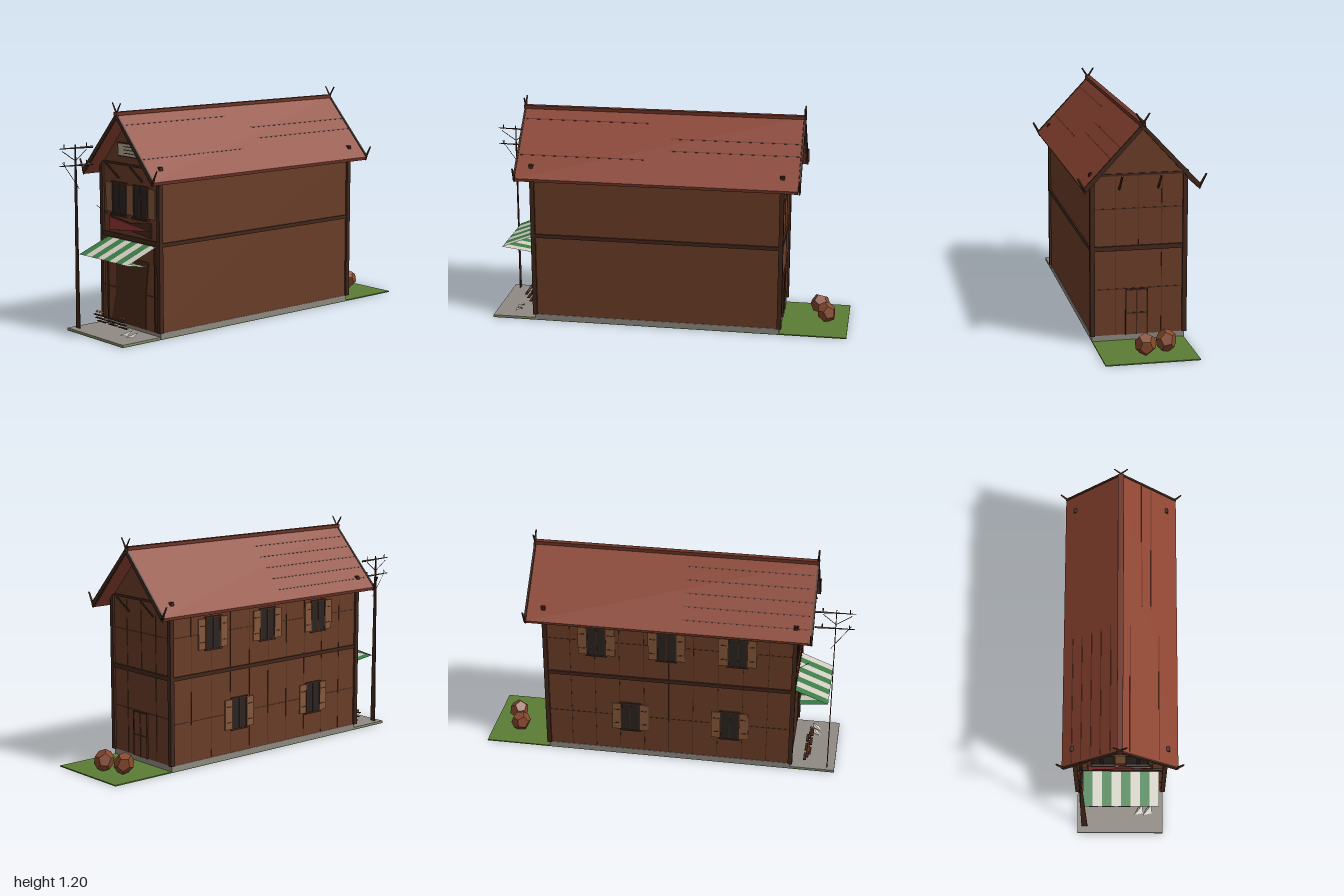
import * as THREE from 'three';

const C = {
  wall: 0x6b3d27, beam: 0x42271a, seam: 0x4a2b1c, roof: 0x8f4532, groove: 0x6b3325, dark: 0x2a2421,
  shutter: 0x85573a, stone: 0x8f8a82, grass: 0x5b7c35, cloth: 0xd0ccc0, green: 0x3c7d48, red: 0x933535, sign: 0xb5ab92,
  door: 0x4b2a1b, rock: 0x84482d, orange: 0xb0602c
};
const mats = {};
const mat = (color) => (mats[color] ??= new THREE.MeshStandardMaterial({ color, flatShading: true, side: THREE.DoubleSide }));

function add(parent, name, geo, color, x = 0, y = 0, z = 0) {
  const m = new THREE.Mesh(geo, mat(color));
  m.name = name;
  m.position.set(x, y, z);
  parent.add(m);
  return m;
}
const box = (p, name, w, h, d, x, y, z, color) => add(p, name, new THREE.BoxGeometry(w, h, d), color, x, y, z);

// Tapered square bar between two points
function bar(p, name, a, b, r, color = C.beam, rEnd = r) {
  const A = new THREE.Vector3(...a), B = new THREE.Vector3(...b);
  const dir = B.clone().sub(A);
  const m = add(p, name, new THREE.CylinderGeometry(rEnd, r, dir.length(), 4), color);
  m.position.copy(A).add(B).multiplyScalar(0.5);
  m.quaternion.setFromUnitVectors(new THREE.Vector3(0, 1, 0), dir.normalize());
  return m;
}
// Outline in x,y pushed along z
function prism(p, name, pts, z0, z1, color) {
  const shape = new THREE.Shape(pts.map(([x, y]) => new THREE.Vector2(x, y)));
  return add(p, name, new THREE.ExtrudeGeometry(shape, { depth: z1 - z0, bevelEnabled: false }), color, 0, 0, z0);
}
// Flat four-cornered sheet
function sheet(p, name, a, b, c, d, color) {
  const g = new THREE.BufferGeometry();
  g.setAttribute('position', new THREE.Float32BufferAttribute([...a, ...b, ...c, ...a, ...c, ...d], 3));
  g.computeVertexNormals();
  return add(p, name, g, color);
}
const chevron = (out, thick, half, top, eave) => [
  [0, top + out], [half, eave + out], [half - 0.01, eave + out - thick], [0, top + out - thick * 1.2],
  [-half + 0.01, eave + out - thick], [-half, eave + out]];

// Shuttered window facing +z, centred on its own origin
function windowUnit(name, w, h, shutterW) {
  const g = new THREE.Group();
  g.name = name;
  box(g, 'pane', w, h, 0.006, 0, 0, 0.003, C.dark);
  for (const s of [-1, 0, 1]) box(g, 'windowBar', 0.007, h, 0.008, s * w / 2, 0, 0.005, C.beam);
  for (const s of [-1, 1]) {
    box(g, 'windowRail', w + 0.015, 0.008, 0.01, 0, s * h / 2, 0.005, C.beam);
    if (!shutterW) continue;
    const x = s * (w + shutterW) / 2;
    box(g, 'shutter', shutterW, h * 0.95, 0.006, x, 0, 0.004, C.shutter);
    for (const y of [-0.25, 0.25]) box(g, 'shutterSlat', shutterW * 0.6, 0.004, 0.003, x, y * h, 0.008, C.beam);
  }
  return g;
}

export function createModel() {
  const root = new THREE.Group();
  root.name = 'timberShop';
  const group = (name) => { const g = new THREE.Group(); g.name = name; root.add(g); return g; };
  const ZF = 0.7, ZB = -0.64;

  // Ground, paving and plinth
  const ground = group('ground');
  box(ground, 'grass', 0.48, 0.006, 1.94, 0, 0.003, -0.03, C.grass);
  box(ground, 'paving', 0.48, 0.008, 0.24, 0, 0.01, 0.82, C.stone);
  box(ground, 'plinth', 0.485, 0.03, 1.34, 0, 0.02, 0.03, C.stone);

  // Walls with gables
  const body = group('house');
  prism(body, 'walls', [[-0.24, 0.03], [0.24, 0.03], [0.24, 0.87], [0, 1.13], [-0.24, 0.87]], ZB, ZF, C.wall);
  for (const x of [-0.24, 0.24]) {
    for (const z of [ZB, ZF]) box(body, 'cornerPost', 0.024, 0.855, 0.024, x, 0.463, z, C.beam);
    box(body, 'sideBeam', 0.016, 0.02, 1.34, x, 0.49, 0.03, C.beam);
  }
  for (const [z, s] of [[ZF, 1], [ZB, -1]]) {
    box(body, 'floorBeam', 0.48, 0.024, 0.02, 0, 0.495, z, C.beam);
    box(body, 'gableBeam', 0.48, 0.012, 0.012, 0, 0.875, z, C.beam);
    for (const x of [-0.1, 0.1]) bar(body, 'gableBracket', [x, 0.8, z], [x, 0.885, z + s * 0.08], 0.006);
  }
  // Plank seams on the back and the left-hand street side
  for (const x of [-0.12, 0, 0.12]) {
    box(body, 'backSeam', 0.003, 0.36, 0.003, x, 0.68, ZB - 0.001, C.seam);
    if (x) box(body, 'backSeam', 0.003, 0.44, 0.003, x, 0.26, ZB - 0.001, C.seam);
  }
  for (const y of [0.28, 0.7]) box(body, 'backRail', 0.47, 0.004, 0.003, 0, y, ZB - 0.001, C.seam);
  for (let i = 1; i < 10; i++) box(body, 'sideSeam', 0.003, 0.82, 0.003, -0.24, 0.45, ZB + i * 0.134, C.seam);
  for (const y of [0.25, 0.7]) box(body, 'sideRail', 0.003, 0.004, 1.32, -0.24, y, 0.03, C.seam);

  // Roof, ridge, barge boards and horn finials
  const roof = group('roof');
  prism(roof, 'roofSlopes', chevron(0, 0.018, 0.3, 1.145, 0.825), -0.725, 0.785, C.roof);
  box(roof, 'ridge', 0.03, 0.018, 1.52, 0, 1.146, 0.03, C.groove);
  for (const z of [-0.733, 0.783]) {
    prism(roof, 'bargeBoard', chevron(0.004, 0.024, 0.302, 1.145, 0.825), z - 0.004, z + 0.006, C.beam);
    for (const s of [-1, 1]) {
      bar(roof, 'ridgeHorn', [-s * 0.012, 1.13, z], [s * 0.034, 1.2, z], 0.007, C.beam, 0.004);
      bar(roof, 'eaveHorn', [s * 0.29, 0.82, z], [s * 0.326, 0.885, z], 0.008, C.beam, 0.005);
    }
  }
  const groove = (x, z0, z1) => {
    const m = box(roof, 'roofGroove', 0.006, 0.003, z1 - z0, x, 1.145 - Math.abs(x) * 1.067, (z0 + z1) / 2, C.groove);
    m.rotation.z = -Math.sign(x) * 0.818;
  };
  for (const x of [0.05, 0.2]) groove(x, 0.1, 0.77);
  for (const x of [0.11, 0.16]) groove(x, -0.72, -0.03);
  for (const x of [-0.05, -0.1, -0.15, -0.2, -0.25]) groove(x, 0.1, 0.77);
  for (const x of [-0.25, 0.25]) for (const z of [ZB, ZF]) box(roof, 'postPeg', 0.012, 0.02, 0.02, x, 0.875, z, C.beam);

  // Shop front: windows, signs and curtained doorway
  const front = group('shopFront');
  for (const x of [-0.09, 0.09]) {
    const w = windowUnit('frontWindow', 0.115, 0.165, 0);
    w.position.set(x, 0.693, ZF);
    front.add(w);
    box(front, 'windowSill', 0.13, 0.008, 0.02, x, 0.605, ZF + 0.008, C.beam);
  }
  for (const x of [-0.18, 0, 0.18]) box(front, 'shutter', 0.055, 0.155, 0.006, x, 0.693, ZF + 0.003, C.shutter);
  box(front, 'gableSignFrame', 0.188, 0.074, 0.008, 0, 0.952, ZF + 0.004, C.beam);
  box(front, 'gableSign', 0.174, 0.06, 0.012, 0, 0.952, ZF + 0.005, C.sign);
  for (let i = 0; i < 3; i++) box(front, 'signSlat', 0.12, 0.004, 0.003, 0.02, 0.935 + i * 0.017, ZF + 0.011, C.dark);
  prism(front, 'boardBack', [[-0.175, 0.515], [0, 0.535], [0.175, 0.515], [0.175, 0.595], [0, 0.575], [-0.175, 0.595]], ZF, ZF + 0.006, C.beam);
  prism(front, 'redBoard', [[-0.17, 0.518], [0.165, 0.553], [-0.17, 0.588]], ZF, ZF + 0.012, C.red);
  prism(front, 'doorway', [[-0.17, 0.035], [0.125, 0.035], [0.125, 0.22], [0.15, 0.39], [-0.13, 0.39], [-0.13, 0.2]], ZF, ZF + 0.004, C.door);
  for (const x of [-0.2, 0.2]) box(front, 'doorPost', 0.01, 0.45, 0.01, x, 0.26, ZF, C.beam);
  for (const x of [-0.185, 0.185]) box(front, 'doorRail', 0.11, 0.006, 0.006, x, 0.215, ZF, C.beam);

  // Striped awning with a tucked-back under flap
  const awning = group('awning');
  const n = 8, X0 = -0.2, W = 0.41;
  for (let i = 0; i < n; i++) {
    const a = X0 + W * i / n, b = X0 + W * (i + 1) / n, k = (x) => 0.005 + (x - 0.005) * 0.88;
    const color = i % 2 ? C.cloth : C.green;
    sheet(awning, 'awningStripe', [a, 0.405, 0.885], [b, 0.405, 0.885], [b, 0.478, ZF], [a, 0.478, ZF], color);
    sheet(awning, 'awningFlap', [k(a), 0.375, 0.73], [k(b), 0.375, 0.73], [b, 0.405, 0.885], [a, 0.405, 0.885], color);
  }

  // Back door
  const back = group('backDoor');
  box(back, 'doorLeaf', 0.11, 0.235, 0.008, 0.01, 0.153, ZB - 0.002, C.wall);
  for (const x of [-0.045, 0.01, 0.065]) box(back, 'doorStile', 0.006, 0.24, 0.012, x, 0.155, ZB - 0.003, C.beam);
  for (const y of [0.15, 0.275]) box(back, 'doorRail', 0.115, 0.006, 0.012, 0.01, y, ZB - 0.003, C.beam);

  // Shuttered windows on the street side
  for (const [y, z] of [[0.7, -0.36], [0.7, 0.02], [0.7, 0.4], [0.245, -0.18], [0.245, 0.365]]) {
    const w = windowUnit('sideWindow', 0.1, 0.17, 0.05);
    w.position.set(-0.24, y, z);
    w.rotation.y = -Math.PI / 2;
    root.add(w);
  }

  // Utility pole with cross arms and stays
  const pole = group('utilityPole');
  const px = -0.2, pz = 0.9;
  prism(pole, 'poleShaft', [[px - 0.017, 0.012], [px + 0.017, 0.012], [px + 0.009, 0.8], [px + 0.002, 0.98], [px - 0.002, 0.98], [px - 0.009, 0.8]], pz - 0.002, pz + 0.002, C.beam);
  for (const y of [0.87, 0.96]) {
    bar(pole, 'crossArm', [px, y, 0.79], [px, y + 0.004, 1], 0.006, C.beam, 0.002);
    for (const z of [0.83, 0.97]) bar(pole, 'insulator', [px, y, z], [px, y + 0.025, z], 0.003);
  }
  for (const z of [0.98, 0.83]) bar(pole, 'armBrace', [px, 0.95, z], [px, 0.895, 0.9], 0.002);
  bar(pole, 'stay', [px, 0.89, 0.98], [px, 0.75, 0.88], 0.0015);
  bar(pole, 'stay', [px, 0.65, 0.77], [px, 0.6, 0.7], 0.0015);

  // Produce racks and loose cloths on the paving
  const goods = group('produceRacks');
  [-0.16, -0.065, 0.025].forEach((x, i) => {
    for (let j = 0; j < 3; j++) box(goods, 'rackSlat', 0.07, 0.004, 0.015, x, 0.035 + j * 0.02, 0.775 + j * 0.012, C.beam);
    for (const s of [-1, 0, 1]) {
      add(goods, 'produce', new THREE.OctahedronGeometry(0.009), [C.orange, C.green, C.red][i], x + s * 0.024, 0.09 - (i === 1) * 0.04, 0.79);
    }
  });
  for (const x of [0.1, 0.15]) sheet(goods, 'cloth', [x - 0.02, 0.018, 0.84], [x + 0.03, 0.02, 0.83], [x + 0.025, 0.045, 0.79], [x, 0.025, 0.8], C.cloth);

  // Boulders behind the house
  for (const [x, z, turn] of [[-0.1, -0.84, 0.4], [0.015, -0.88, 1.5]]) {
    const r = add(root, 'boulder', new THREE.DodecahedronGeometry(0.058), C.rock, x, 0.06, z);
    r.rotation.set(0.3, turn, 0.2);
    r.scale.set(0.9, 1.02, 0.95);
  }
  return root;
}
